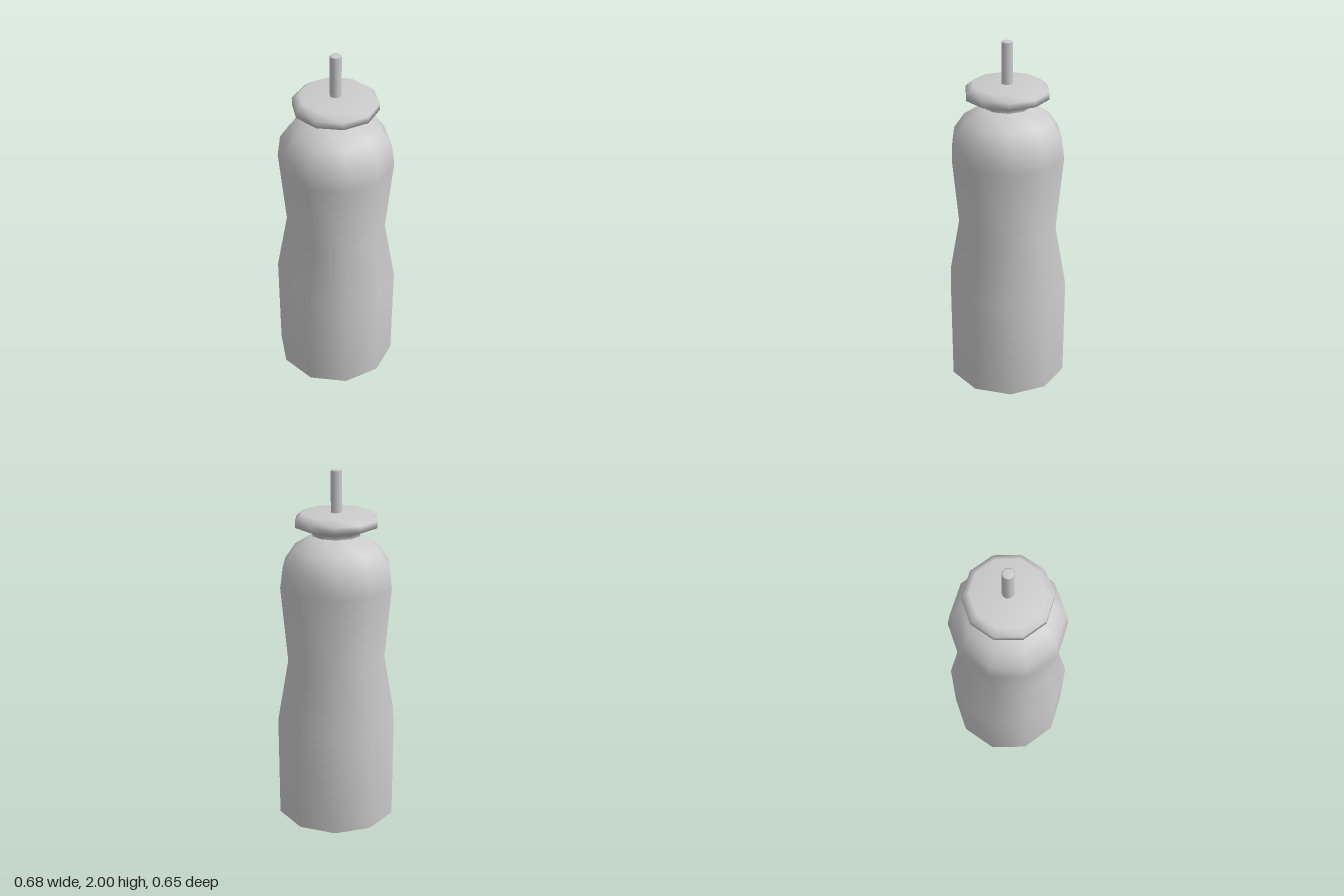
import * as THREE from 'three';

const SIDES = 10;

// Ten-sided smooth lathe, with a corner pointing along +x
function turned(name, profile, material) {
  const points = profile.map(([r, y]) => new THREE.Vector2(r, y));
  const geometry = new THREE.LatheGeometry(points, SIDES, Math.PI / 2, Math.PI * 2);
  const mesh = new THREE.Mesh(geometry, material);
  mesh.name = name;
  return mesh;
}

export function createModel() {
  const group = new THREE.Group();
  group.name = 'squeezeBottle';
  const grey = new THREE.MeshStandardMaterial({ color: 0xcccccc });

  // Waisted body with a rounded shoulder
  group.add(turned('body', [
    [0, 0], [0.312, 0], [0.342, 0.02], [0.342, 0.61], [0.278, 0.96],
    [0.315, 1.38], [0.298, 1.5], [0.239, 1.585], [0.132, 1.653], [0, 1.653],
  ], grey));

  // Narrow neck flaring into a bevelled cap
  group.add(turned('cap', [
    [0.132, 1.65], [0.132, 1.67], [0.228, 1.705],
    [0.228, 1.742], [0.19, 1.775], [0, 1.775],
  ], grey));

  // Thin drinking spout
  group.add(turned('spout', [
    [0.031, 1.77], [0.031, 1.994], [0.026, 2], [0, 2],
  ], grey));

  return group;
}
